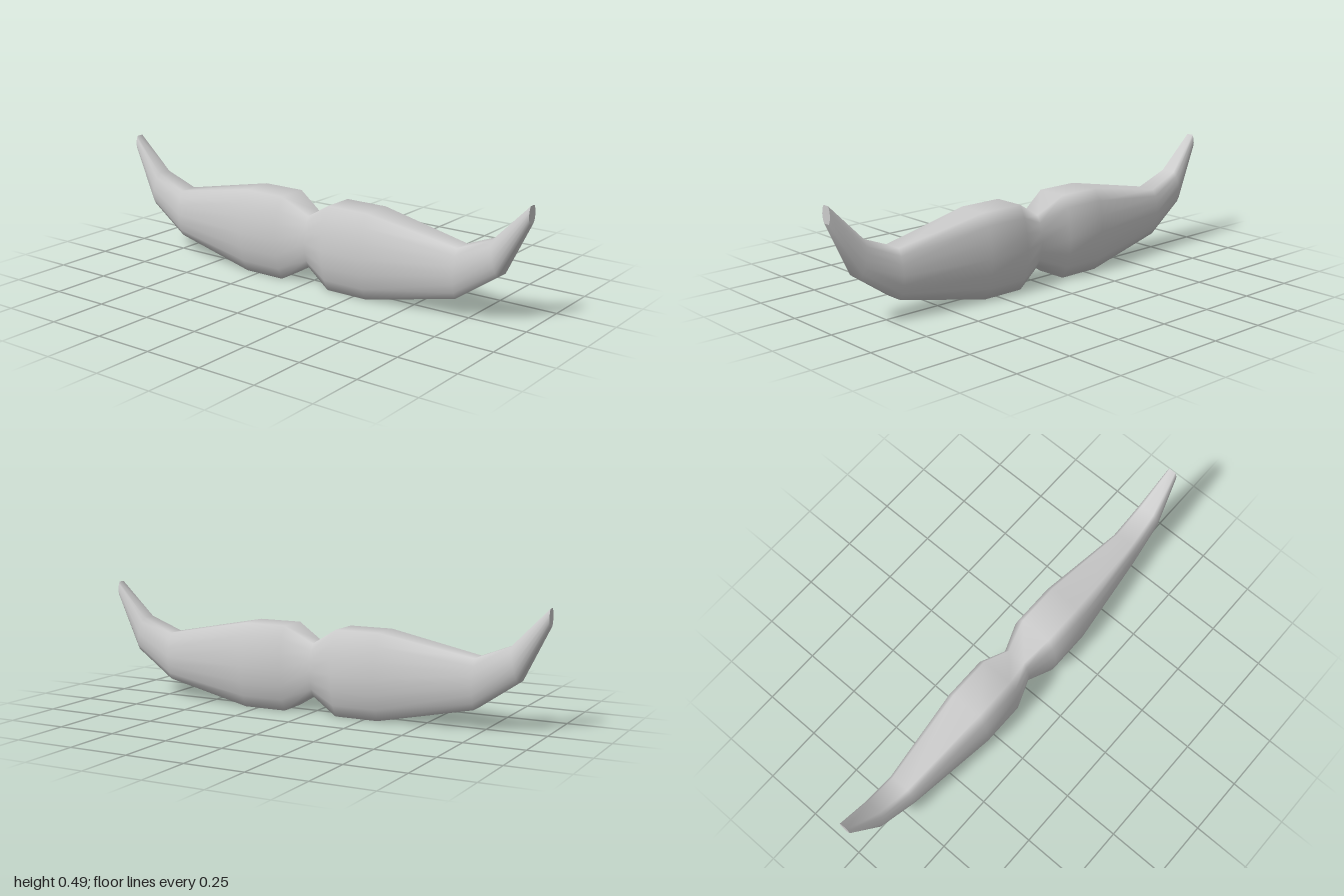
import * as THREE from 'three';

// half stations: [top x, top y, bottom x, bottom y, half depth]
const HALF = [
  [0, 0.29, 0, 0.07, 0.072],
  [0.12, 0.36, 0.12, 0, 0.118],
  [0.31, 0.36, 0.31, 0, 0.118],
  [0.71, 0.285, 0.71, 0.08, 0.069],
  [0.855, 0.342, 0.885, 0.2, 0.056],
  [1, 0.494, 1, 0.424, 0.025],
];

// one side of the cross-section, top to bottom: [height 0..1, depth 0..1]
const SIDE = [[1, 0.58], [0.86, 0.81], [0.69, 0.93], [0.5, 1], [0.31, 0.94], [0.14, 0.81], [0, 0.58]];
const RING = [...SIDE, ...SIDE.map(([h, d]) => [h, -d]).reverse()];

function sectionPoints([tx, ty, bx, by, depth]) {
  return RING.map(([h, d]) => [bx + (tx - bx) * h, by + (ty - by) * h, d * depth]);
}

function makeGeometry(positions, index) {
  const geometry = new THREE.BufferGeometry();
  geometry.setAttribute('position', new THREE.Float32BufferAttribute(positions.flat(), 3));
  geometry.setIndex(index);
  geometry.computeVertexNormals();
  return geometry;
}

// smooth skin through all stations
function loft(stations) {
  const n = RING.length;
  const index = [];
  for (let i = 0; i < stations.length - 1; i++) {
    for (let j = 0; j < n; j++) {
      const k = (j + 1) % n;
      const a = i * n + j, b = a + n, c = (i + 1) * n + k, d = i * n + k;
      index.push(a, d, b, d, c, b);
    }
  }
  return makeGeometry(stations.flatMap(sectionPoints), index);
}

// flat end face of a tip
function cap(station, flip) {
  const index = [];
  for (let j = 1; j < RING.length - 1; j++) index.push(0, ...(flip ? [j + 1, j] : [j, j + 1]));
  return makeGeometry(sectionPoints(station), index);
}

export function createModel() {
  const group = new THREE.Group();
  group.name = 'moustache';
  const material = new THREE.MeshStandardMaterial({ color: 0xcccccc });
  const mirrored = HALF.slice(1).reverse().map(([tx, ty, bx, by, d]) => [-tx, ty, -bx, by, d]);
  const stations = [...mirrored, ...HALF];

  const add = (name, geometry) => {
    const mesh = new THREE.Mesh(geometry, material);
    mesh.name = name;
    group.add(mesh);
  };
  add('whiskers', loft(stations));
  add('leftTip', cap(stations[stations.length - 1], false));
  add('rightTip', cap(stations[0], true));
  return group;
}
